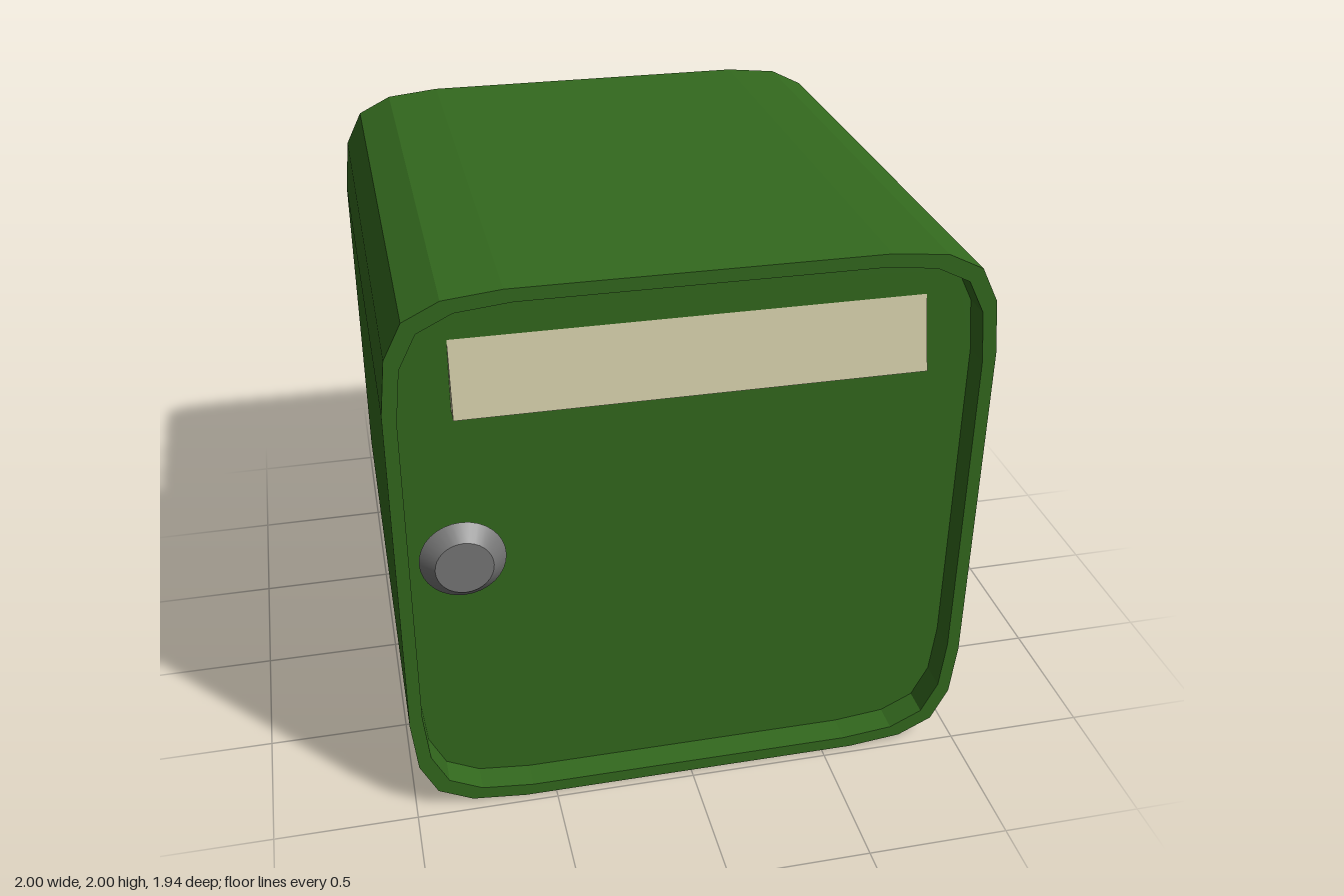
import * as THREE from 'three';

const paint = (color, flatShading = true) => new THREE.MeshStandardMaterial({ color, flatShading });

// Squared outline with faceted corners, mirrored from one corner
function outline(scale, Type) {
  const corner = [[1, 0.61], [0.98, 0.8], [0.92, 0.92], [0.8, 0.98], [0.61, 1]];
  const flip = [...corner].reverse();
  const pts = [
    ...corner,
    ...flip.map(([x, y]) => [-x, y]),
    ...corner.map(([x, y]) => [-x, -y]),
    ...flip.map(([x, y]) => [x, -y]),
  ];
  return new Type(pts.map(([x, y]) => new THREE.Vector2(x * scale, y * scale)));
}

export function createModel() {
  const group = new THREE.Group();
  const green = paint(0x33691e);
  const add = (name, geometry, material, x, y, z) => {
    const mesh = new THREE.Mesh(geometry, material);
    mesh.name = name;
    mesh.position.set(x, y, z);
    group.add(mesh);
    return mesh;
  };

  const half = 0.97, panelZ = 0.87, inner = 0.955;

  // Shell: open tube whose rims stand proud of the end panels
  const ring = outline(1, THREE.Shape);
  ring.holes.push(outline(inner, THREE.Path));
  add('shell', new THREE.ExtrudeGeometry(ring, { depth: 2 * half, bevelEnabled: false }), green, 0, 1, -half);

  // Recessed door and back panel
  const panel = new THREE.ExtrudeGeometry(outline(inner, THREE.Shape), { depth: 0.04, bevelEnabled: false });
  add('door', panel, green, 0, 1, panelZ - 0.04);
  add('backPanel', panel, green, 0, 1, -panelZ);

  // Letter flap: wedge that leans out at the bottom
  const wedge = new THREE.Shape([
    new THREE.Vector2(0, 0), new THREE.Vector2(0.065, 0), new THREE.Vector2(0, 0.25),
  ]);
  const flap = new THREE.ExtrudeGeometry(wedge, { depth: 1.56, bevelEnabled: false });
  flap.translate(0, 0, -0.78).rotateY(-Math.PI / 2);
  add('letterFlap', flap, paint(0xcac4a0), 0, 1.55, panelZ);

  // Round tapered knob with a flat face
  const side = [[0.11, 0], [0.145, 0.022], [0.097, 0.075]].map(([r, h]) => new THREE.Vector2(r, h));
  const knob = new THREE.Group();
  knob.name = 'knob';
  knob.position.set(-0.775, 1, panelZ);
  knob.rotation.x = Math.PI / 2;
  const grey = paint(0x777777, false);
  for (let i = 0; i < 2; i++) {
    const band = new THREE.Mesh(new THREE.LatheGeometry([side[i], side[i + 1]], 32), grey);
    band.name = i ? 'knobTaper' : 'knobBase';
    knob.add(band);
  }
  const face = new THREE.Mesh(new THREE.CircleGeometry(0.097, 32).rotateX(-Math.PI / 2), grey);
  face.name = 'knobFace';
  face.position.y = 0.075;
  knob.add(face);
  group.add(knob);

  return group;
}
